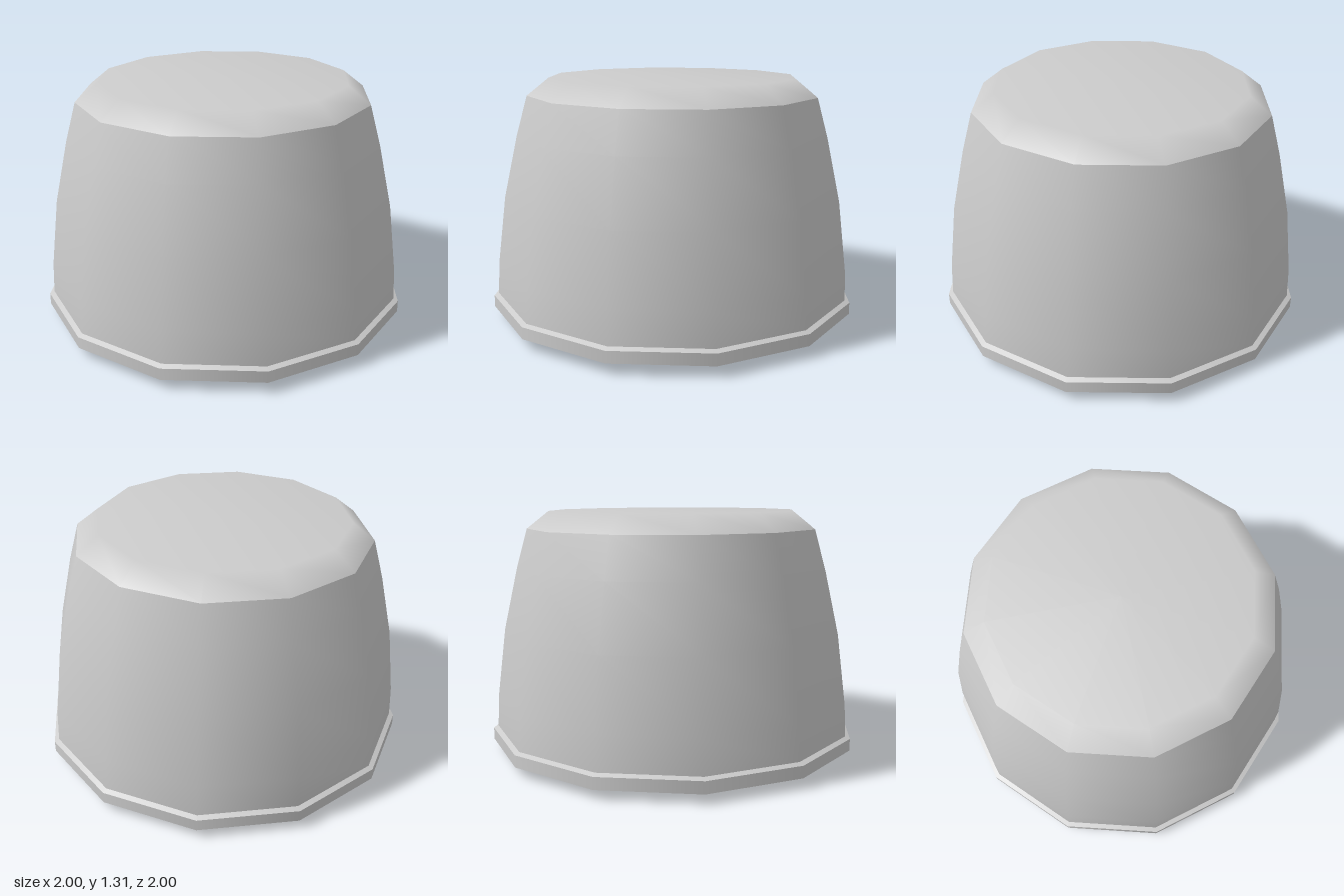
import * as THREE from 'three';

const SIDES = 12;
const material = new THREE.MeshStandardMaterial({ color: 0xcccccc });

// Twelve-sided turned surface; each profile is smooth within itself, creased where profiles meet.
function turned(name, profile) {
  const points = profile.map(([r, y]) => new THREE.Vector2(r, y));
  const mesh = new THREE.Mesh(new THREE.LatheGeometry(points, SIDES), material);
  mesh.name = name;
  return mesh;
}

export function createModel() {
  const model = new THREE.Group();
  model.name = 'domedCap';

  // Profiles run from the underside's centre outwards and up to the crown's centre.
  model.add(
    turned('undersideDome', [[0, 0], [0.5, 0.045], [0.91, 0.17]]),
    turned('recessWall', [[0.91, 0.17], [0.93, 0.055]]),
    turned('rimBottom', [[0.93, 0.055], [1, 0.055]]),
    turned('rimSide', [[1, 0.055], [1, 0.118]]),
    turned('rimLedge', [[1, 0.118], [0.975, 0.13]]),
    turned('bodyWall', [[0.975, 0.13], [0.967, 0.3], [0.92, 0.67], [0.846, 1.0], [0.787, 1.21]]),
    turned('crown', [[0.787, 1.21], [0.67, 1.303], [0, 1.303]])
  );

  // The cap leans back very slightly.
  model.rotation.x = -0.007;
  return model;
}
